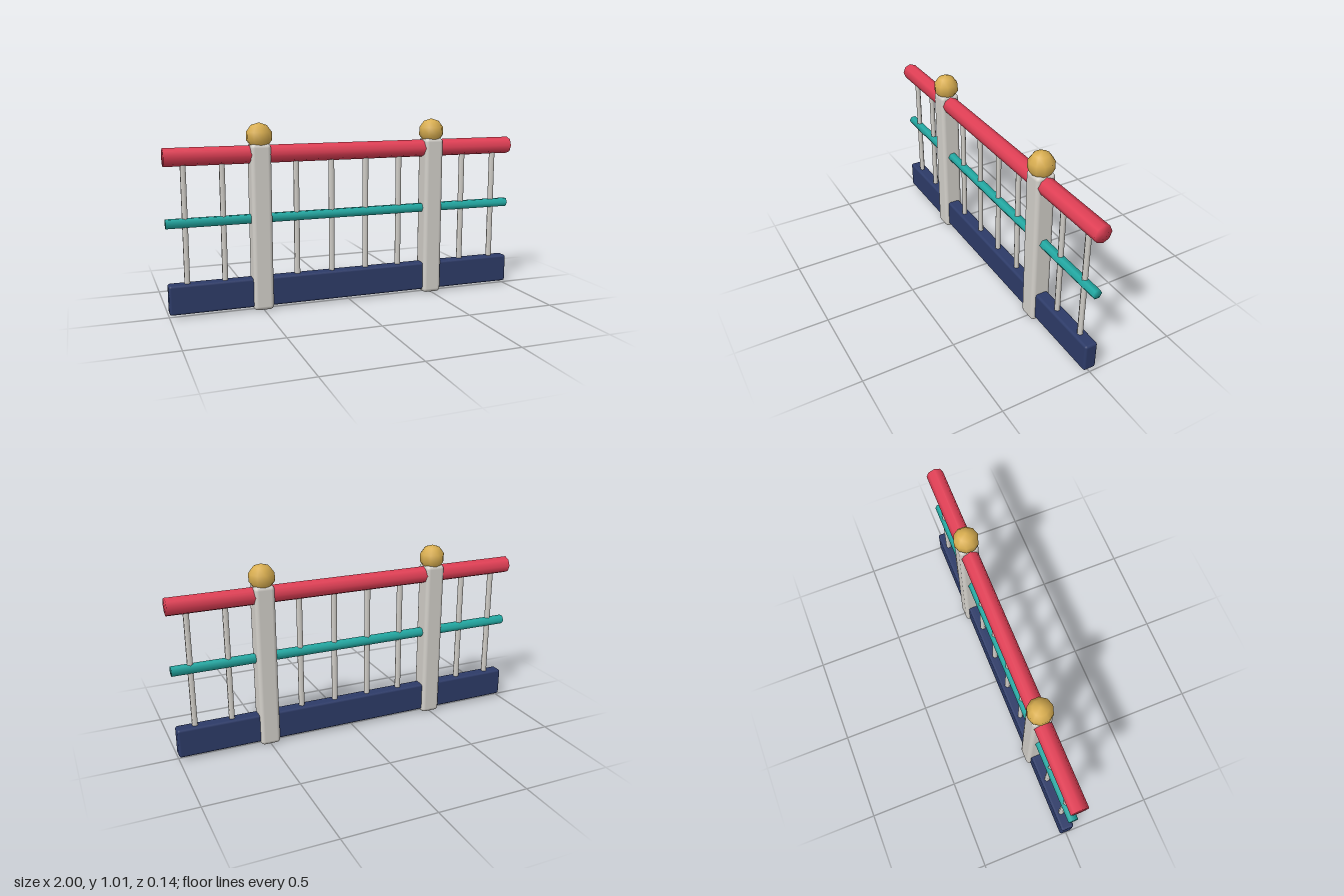
import * as THREE from 'three';
import { mergeVertices } from 'three/addons/utils/BufferGeometryUtils.js';
import { RoundedBoxGeometry } from 'three/addons/geometries/RoundedBoxGeometry.js';

function material(name, color) {
  const m = new THREE.MeshStandardMaterial({ color });
  m.name = name;
  return m;
}

// Share all corners so that shading also rolls over the end caps
function soften(geometry) {
  geometry.deleteAttribute('uv');
  geometry.deleteAttribute('normal');
  const merged = mergeVertices(geometry, 1e-4);
  merged.computeVertexNormals();
  return merged;
}

export function createModel() {
  const group = new THREE.Group();
  const red = material('red', 0xe03f55);
  const teal = material('teal', 0x22a8a2);
  const navy = material('navy', 0x2d3b68);
  const gold = material('gold', 0xd9ae50);
  const stone = material('pale stone', 0xd3d0ca);

  function add(name, geometry, mat, x, y) {
    const mesh = new THREE.Mesh(geometry, mat);
    mesh.name = name;
    mesh.position.set(x, y, 0);
    group.add(mesh);
  }

  // Bar running the full length along x
  const bar = (radius, sides) =>
    soften(new THREE.CylinderGeometry(radius, radius, 2, sides)).rotateZ(Math.PI / 2);

  add('topRail', bar(0.048, 8), red, 0, 0.843);
  add('middleRail', bar(0.027, 6), teal, 0, 0.5);
  add('baseBoard', new RoundedBoxGeometry(2, 0.16, 0.072, 2, 0.013), navy, 0, 0.098);

  // Posts with ball finials
  const post = new RoundedBoxGeometry(0.11, 0.9, 0.11, 2, 0.022);
  const ball = soften(new THREE.SphereGeometry(0.071, 10, 5)).rotateY(Math.PI / 2);
  for (const x of [-0.5, 0.5]) {
    add('post', post, stone, x, 0.45);
    add('finial', ball, gold, x, 0.938);
  }

  // Balusters between base board and top rail
  const baluster = new THREE.CylinderGeometry(0.016, 0.016, 0.68, 6);
  for (const x of [-0.9, -0.7, -0.3, -0.1, 0.1, 0.3, 0.7, 0.9]) {
    add('baluster', baluster, stone, x, 0.49);
  }
  return group;
}
